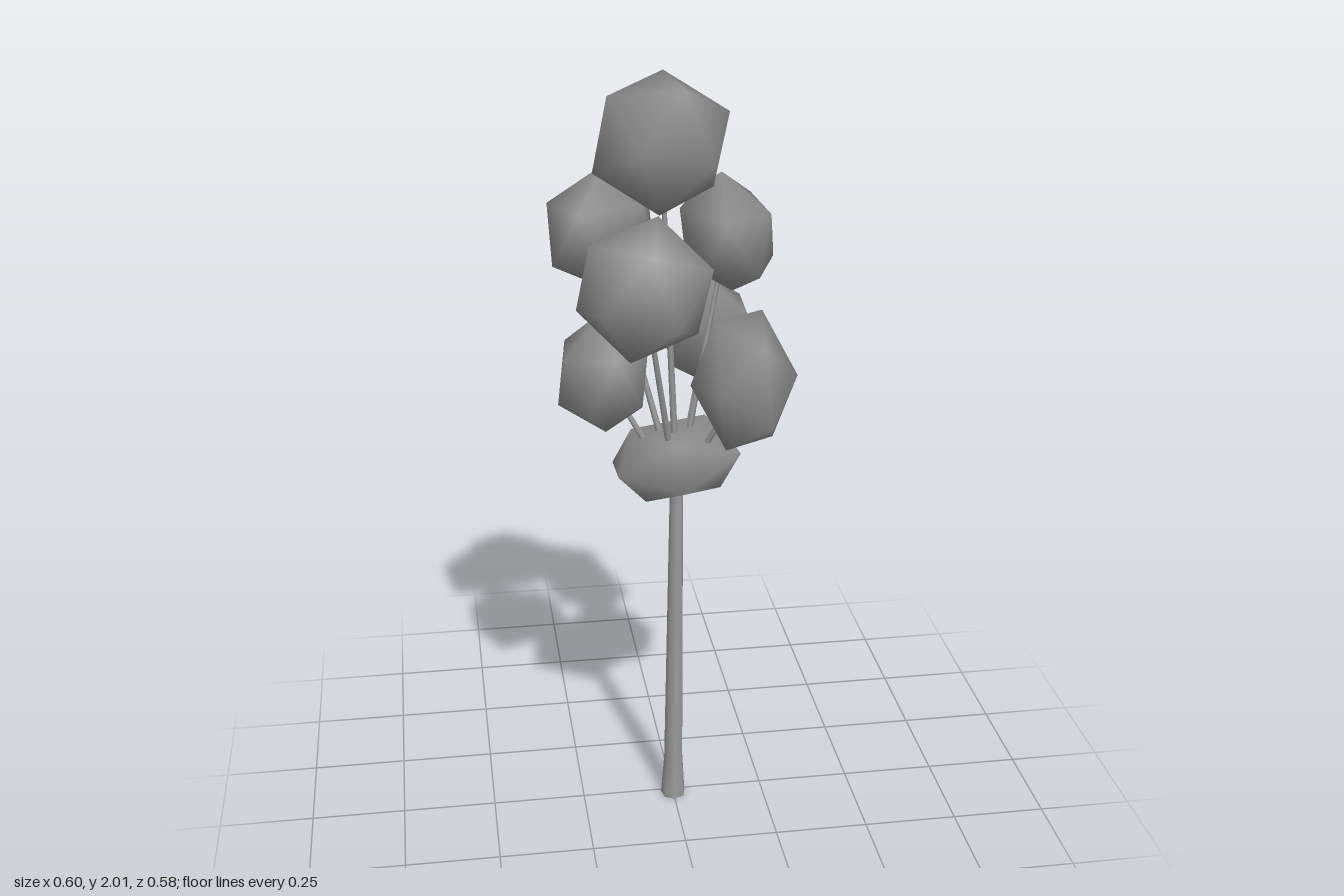
import * as THREE from 'three';
import { ConvexGeometry } from 'three/addons/geometries/ConvexGeometry.js';
import { mergeVertices } from 'three/addons/utils/BufferGeometryUtils.js';

// Twenty-sided clump: a triangle cap at each end and a zigzag rim of six points, smooth shaded
function makeClumpGeometry() {
  const points = [];
  for (let i = 0; i < 6; i++) {
    const angle = i * Math.PI / 3;
    const sign = i % 2 ? -1 : 1;
    const x = Math.sin(angle), z = Math.cos(angle);
    points.push(new THREE.Vector3(0.618 * x, sign, 0.618 * z));
    points.push(new THREE.Vector3(x, -0.236 * sign, z));
  }
  const geometry = new ConvexGeometry(points);
  geometry.deleteAttribute('normal');
  return mergeVertices(geometry);
}

export function createModel() {
  const tree = new THREE.Group();
  const leafMat = new THREE.MeshStandardMaterial({ color: 0x8c8c8c });
  leafMat.name = 'foliage grey';
  const barkMat = new THREE.MeshStandardMaterial({ color: 0x9a9a9a });
  barkMat.name = 'bark grey';
  const UP = new THREE.Vector3(0, 1, 0);
  const FRONT = new THREE.Vector3(0, 0, 1);

  function add(geometry, material, name) {
    const mesh = new THREE.Mesh(geometry, material);
    mesh.name = name;
    tree.add(mesh);
    return mesh;
  }

  // name, centre, outward axis, rim radius across, rim radius along, half thickness, spin
  const clumps = [
    ['crownClump', [-0.03, 1.855, 0.02], [-0.17, 0.98, 0.08], 0.18, 0.18, 0.142, -1.45],
    ['frontClump', [-0.092, 1.533, 0.165], [-0.12, 0.03, 1], 0.174, 0.178, 0.11, -0.2],
    ['leftUpperClump', [0.143, 1.61, -0.035], [0.97, 0.25, -0.05], 0.203, 0.153, 0.1, Math.PI],
    ['backRightClump', [-0.165, 1.615, -0.113], [-0.72, 0.2, -0.6], 0.18, 0.155, 0.108, Math.PI],
    ['backLowerClump', [0.115, 1.305, -0.175], [0.35, 0.35, -0.85], 0.14, 0.17, 0.095, Math.PI],
    ['rightLowerClump', [-0.174, 1.255, -0.025], [-0.95, 0.12, -0.1], 0.15, 0.16, 0.105, Math.PI],
    ['leftLowerClump', [0.163, 1.272, 0.12], [0.7, 0.12, 0.7], 0.135, 0.192, 0.105, Math.PI / 6],
    ['baseClump', [0.01, 1.015, -0.01], [-0.15, 1, 0], 0.184, 0.188, 0.08, 0],
  ];
  const clumpGeo = makeClumpGeometry();
  const fork = new THREE.Vector3(0.012, 0.92, 0);

  for (const [name, c, a, across, along, half, spin] of clumps) {
    const centre = new THREE.Vector3(...c);
    const axis = new THREE.Vector3(...a).normalize();
    // Rim lies across the axis, its long direction leaning up (or forward on level clumps)
    const side = axis.clone().cross(axis.y > 0.8 ? FRONT : UP).normalize();
    const rise = side.clone().cross(axis);
    const geometry = clumpGeo.clone().rotateY(spin).scale(across, half, along);
    geometry.computeVertexNormals();
    const clump = add(geometry, leafMat, name);
    clump.position.copy(centre);
    clump.quaternion.setFromRotationMatrix(new THREE.Matrix4().makeBasis(side, axis, rise));

    // Thin stem from the fork to the clump
    const span = centre.clone().sub(fork);
    const stem = add(new THREE.CylinderGeometry(0.006, 0.01, span.length(), 5), barkMat, name + 'Stem');
    stem.position.copy(fork).addScaledVector(span, 0.5);
    stem.quaternion.setFromUnitVectors(UP, span.normalize());
  }

  // Slightly leaning trunk with a flared foot
  const trunkGeo = new THREE.LatheGeometry(
    [[0, 0], [0.034, 0], [0.034, 0.001], [0.026, 0.12], [0.018, 0.94], [0, 0.95]]
      .map(([r, y]) => new THREE.Vector2(r, y)), 7);
  const p = trunkGeo.attributes.position;
  for (let i = 0; i < p.count; i++) {
    const t = p.getY(i) / 0.95;
    p.setX(i, p.getX(i) + 0.012 * t);
    p.setZ(i, p.getZ(i) + 0.018 * (1 - t));
  }
  add(trunkGeo, barkMat, 'trunk');
  return tree;
}
